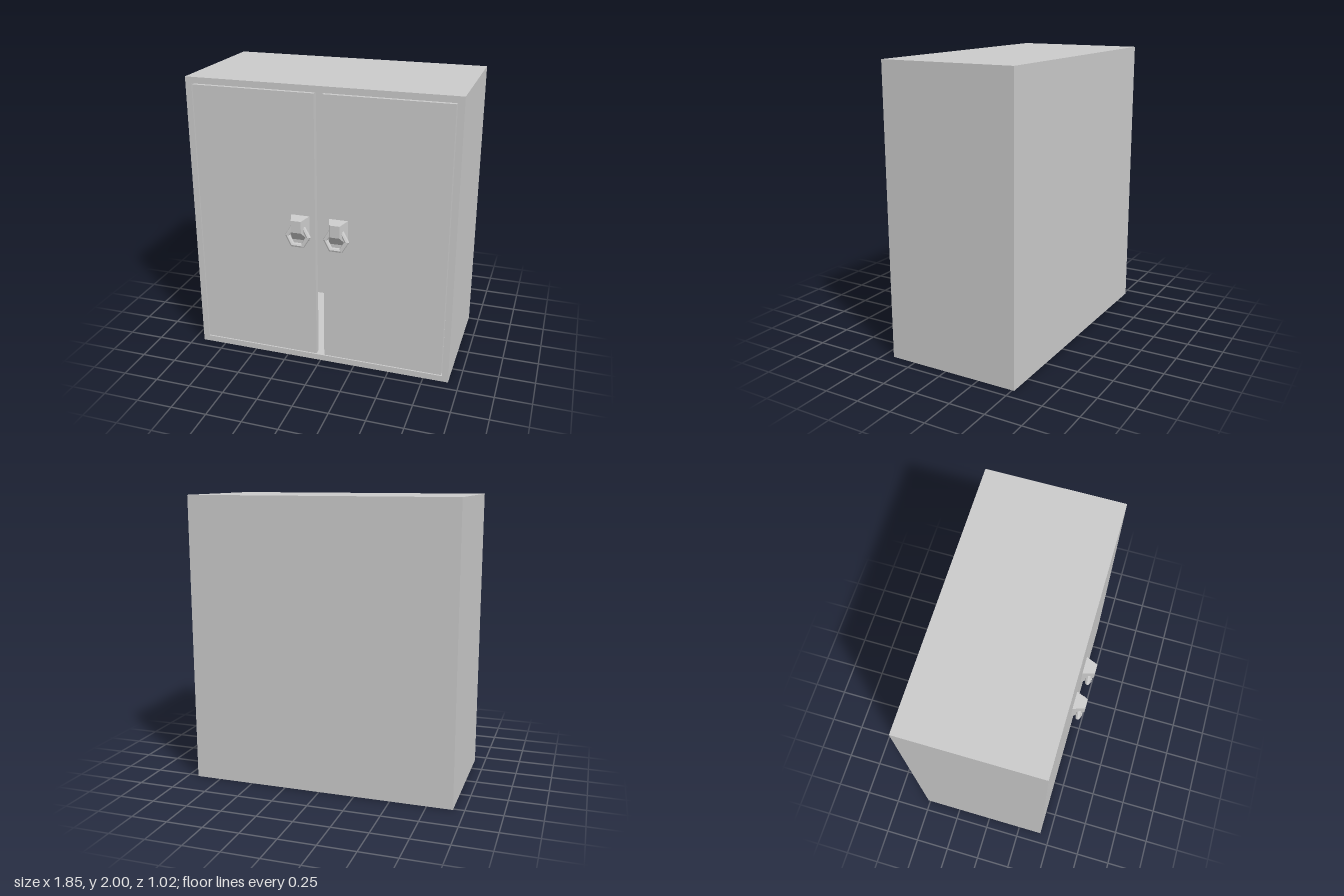
import * as THREE from 'three';

const material = new THREE.MeshStandardMaterial({ color: 0xcccccc, flatShading: true });

// Box given by its two opposite corners
function box(name, [x0, y0, z0], [x1, y1, z1]) {
  const mesh = new THREE.Mesh(new THREE.BoxGeometry(x1 - x0, y1 - y0, z1 - z0), material);
  mesh.position.set((x0 + x1) / 2, (y0 + y1) / 2, (z0 + z1) / 2);
  mesh.name = name;
  return mesh;
}

// Handle base: a box whose front face is narrowed and shortened
function handleBase() {
  const geometry = new THREE.BoxGeometry(1, 1, 1);
  const p = geometry.attributes.position;
  for (let i = 0; i < p.count; i++) {
    const front = p.getZ(i) > 0, top = p.getY(i) > 0;
    const y = front ? (top ? 1.1 : 1.015) : (top ? 1.11 : 0.93);
    p.setXYZ(i, Math.sign(p.getX(i)) * (front ? 0.035 : 0.066), y, front ? 0.51 : 0.425);
  }
  geometry.computeVertexNormals();
  const mesh = new THREE.Mesh(geometry, material);
  mesh.name = 'handleBase';
  return mesh;
}

// Six-sided pull ring hanging at a slight tilt
function handleRing() {
  const mesh = new THREE.Mesh(new THREE.TorusGeometry(0.074, 0.018, 8, 6), material);
  mesh.position.set(0, 0.98, 0.475);
  mesh.rotation.x = -0.1;
  mesh.name = 'handleRing';
  return mesh;
}

export function createModel() {
  const cabinet = new THREE.Group();
  cabinet.name = 'cabinet';
  const W = 0.925, H = 2, back = -0.515, front = 0.425, t = 0.043;

  // Hollow carcass: a rectangular tube closed by a back panel
  const outline = new THREE.Shape([[-W, 0], [W, 0], [W, H], [-W, H]].map(c => new THREE.Vector2(...c)));
  const w = W - t;
  outline.holes.push(new THREE.Path([[-w, t], [-w, H - t], [w, H - t], [w, t]].map(c => new THREE.Vector2(...c))));
  const carcass = new THREE.Mesh(
    new THREE.ExtrudeGeometry(outline, { depth: front - back, bevelEnabled: false }), material);
  carcass.position.z = back;
  carcass.name = 'carcass';
  cabinet.add(carcass, box('backPanel', [-w, t, back], [w, H - t, back + t]));

  // Two flush doors, each with a handle near the middle gap
  for (const [side, s] of [['left', 1], ['right', -1]]) {
    const door = new THREE.Group();
    door.name = side + 'Door';
    const xs = [0.029 * s, 0.875 * s].sort((a, b) => a - b);
    door.add(box('doorPanel', [xs[0], 0.05, front - 0.045], [xs[1], 1.95, front]));
    const handle = new THREE.Group();
    handle.name = side + 'Handle';
    handle.position.x = 0.135 * s;
    handle.add(handleBase(), handleRing());
    door.add(handle);
    cabinet.add(door);
  }
  return cabinet;
}
